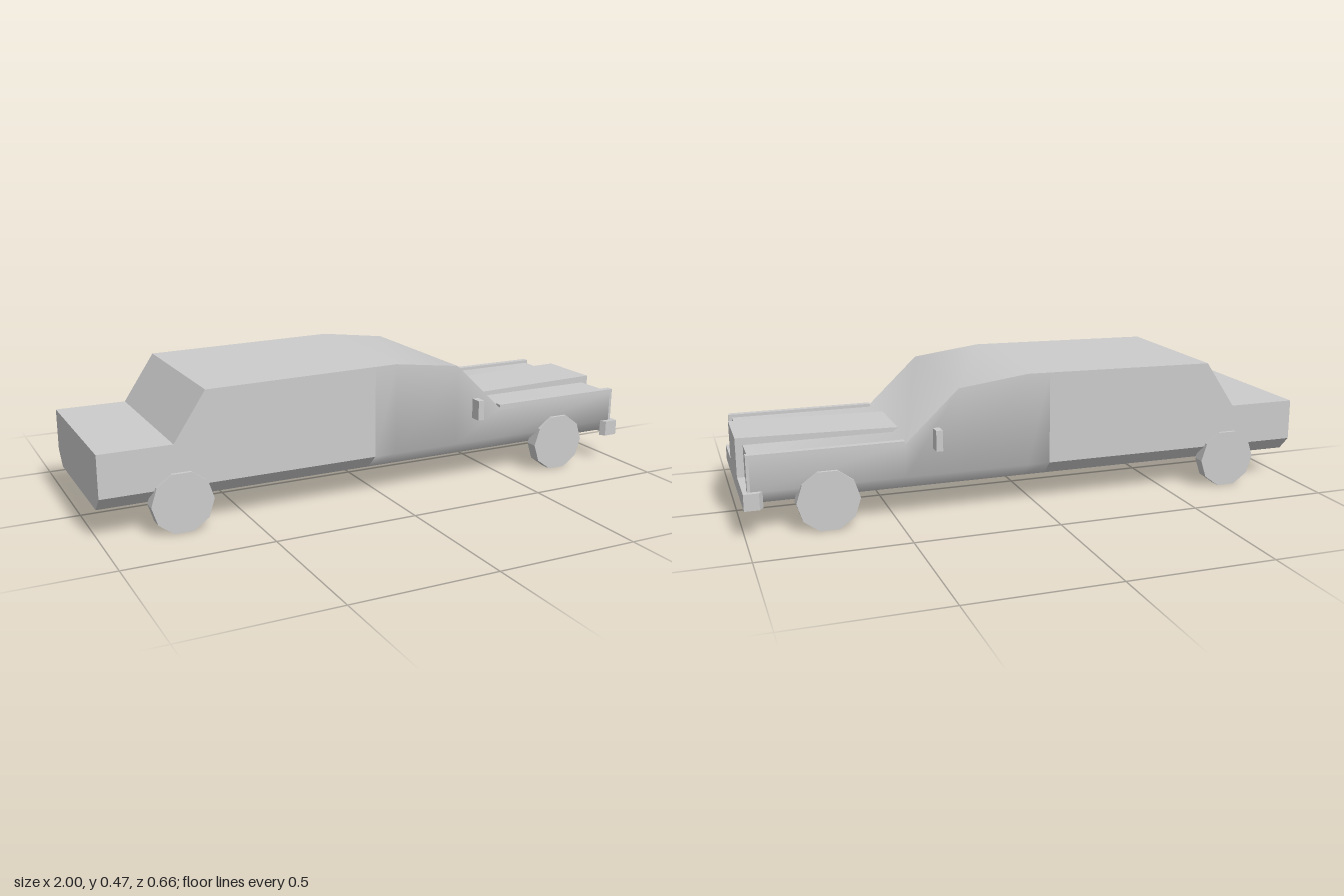
import * as THREE from 'three';
import { toCreasedNormals } from 'three/addons/utils/BufferGeometryUtils.js';

const W = 0.288; // half width of the body

export function createModel() {
  const car = new THREE.Group();
  car.name = 'car';
  const flat = new THREE.MeshStandardMaterial({ color: 0xcccccc, flatShading: true });
  const shellFlat = new THREE.MeshStandardMaterial({ color: 0xcccccc, flatShading: true, side: THREE.DoubleSide });
  const shellSmooth = new THREE.MeshStandardMaterial({ color: 0xcccccc, side: THREE.DoubleSide });

  function add(name, geometry, material = flat) {
    const mesh = new THREE.Mesh(geometry, material);
    mesh.name = name;
    car.add(mesh);
    return mesh;
  }

  // box given by its limits on each axis
  function box(name, x0, x1, y0, y1, z0, z1) {
    const g = new THREE.BoxGeometry(x1 - x0, y1 - y0, Math.abs(z1 - z0));
    g.translate((x0 + x1) / 2, (y0 + y1) / 2, (z0 + z1) / 2);
    return add(name, g);
  }

  // outline of points extruded by depth
  function extrude(points, depth) {
    const shape = new THREE.Shape(points.map(([x, y]) => new THREE.Vector2(x, y)));
    return new THREE.ExtrudeGeometry(shape, { depth, bevelEnabled: false });
  }

  // open-bottomed shell: one cross-section with tucked-in sills per [x, roof height]
  function shell(profile, rearWall, frontWall) {
    const positions = [];
    const index = [];
    for (const [x, top] of profile) {
      for (const [y, z] of [[0.1, -0.238], [0.15, -W], [top, -W], [top, W], [0.15, W], [0.1, 0.238]]) {
        positions.push(x, y, z);
      }
    }
    for (let i = 0; i < profile.length - 1; i++) {
      for (let j = 0; j < 5; j++) {
        const a = i * 6 + j, b = a + 1, c = a + 6, d = a + 7;
        index.push(a, b, c, b, d, c);
      }
    }
    const last = (profile.length - 1) * 6;
    for (let j = 1; j < 5; j++) {
      if (rearWall) index.push(0, j + 1, j);
      if (frontWall) index.push(last, last + j, last + j + 1);
    }
    const g = new THREE.BufferGeometry();
    g.setAttribute('position', new THREE.Float32BufferAttribute(positions, 3));
    g.setIndex(index);
    g.computeVertexNormals();
    return g;
  }

  // rear body: trunk, rear window and cabin
  add('rearBody', shell([[-1, 0.295], [-0.755, 0.295], [-0.645, 0.46], [-0.04, 0.469]], true, false), shellFlat);

  // front body: roof, windshield and engine bay
  const front = shell([[-0.04, 0.469], [0.04, 0.47], [0.285, 0.438], [0.47, 0.263], [0.975, 0.263]], false, true);
  add('frontBody', toCreasedNormals(front, 1), shellSmooth);

  // raised hood centre running down into the grille
  const hood = extrude([[0.454, 0.278], [0.47, 0.262], [0.975, 0.262], [0.975, 0.1], [1, 0.1], [1, 0.288]], 0.236);
  hood.translate(0, 0, -0.118);
  add('hoodAndGrille', hood);

  // front bumper wrapping round the corners
  const bumper = extrude([
    [1, -0.307], [1, 0.307], [0.95, 0.307], [0.937, 0.288], [0.97, 0.288],
    [0.97, -0.288], [0.937, -0.288], [0.95, -0.307],
  ], 0.056);
  bumper.rotateX(-Math.PI / 2);
  bumper.translate(0, 0.097, 0);
  add('frontBumper', bumper);

  for (const [side, s] of [['left', -1], ['right', 1]]) {
    // raised fender edge along the hood and its upright end beside the headlight recess
    box(side + 'FenderEdge', 0.47, 0.985, 0.255, 0.274, s * 0.264, s * W);
    box(side + 'FenderEnd', 0.965, 0.985, 0.15, 0.274, s * 0.264, s * W);
    box(side + 'Mirror', 0.352, 0.375, 0.24, 0.311, s * 0.284, s * 0.329);

    // ten-sided wheels standing on a flat side
    for (const [end, x] of [['Rear', -0.735], ['Front', 0.73]]) {
      const r = 0.1 / Math.cos(Math.PI / 10);
      const g = new THREE.CylinderGeometry(r, r, 0.045, 10, 1, false, Math.PI / 10);
      g.rotateX(Math.PI / 2);
      add(side + end + 'Wheel', g).position.set(x, 0.1, s * 0.2775);
    }
  }
  return car;
}
